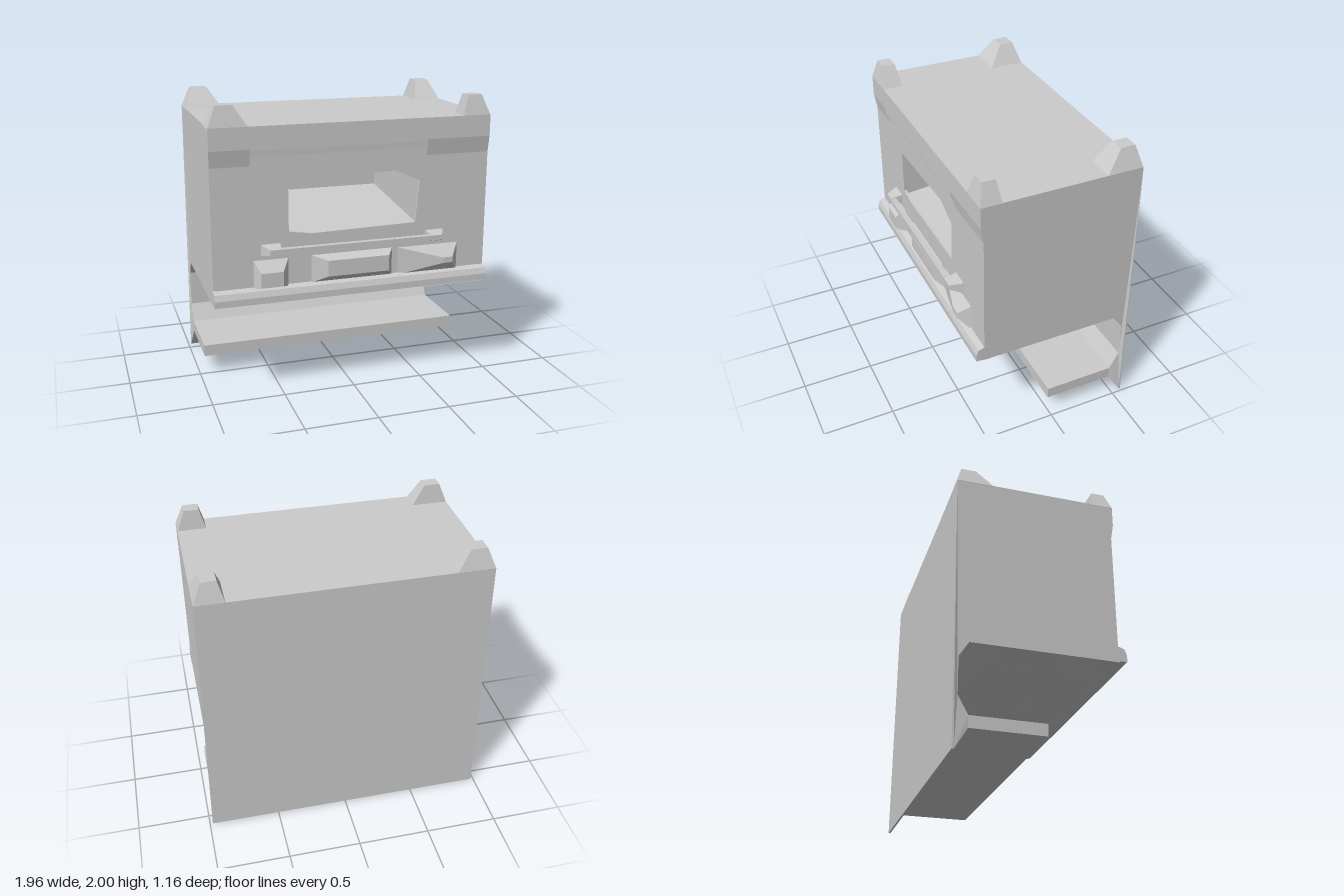
import * as THREE from 'three';

const grey = new THREE.MeshStandardMaterial({ color: 0xcccccc, flatShading: true, side: THREE.DoubleSide });

function add(parent, name, geometry) {
  const mesh = new THREE.Mesh(geometry, grey);
  mesh.name = name;
  parent.add(mesh);
  return mesh;
}

function makeShape(points) {
  return new THREE.Shape(points.map(([a, b]) => new THREE.Vector2(a, b)));
}

// Extrude a [z, y] side profile across x0..x1
function acrossX(points, x0, x1) {
  const g = new THREE.ExtrudeGeometry(makeShape(points), { depth: x1 - x0, bevelEnabled: false });
  return g.rotateY(-Math.PI / 2).translate(x1, 0, 0);
}

// Box whose far end (along +y or +z) is replaced by a smaller rectangle
function frustum(axis, base, tip, from, to) {
  const g = new THREE.BoxGeometry(1, 1, 1).toNonIndexed();
  const p = g.attributes.position;
  for (let i = 0; i < p.count; i++) {
    const v = axis === 'y' ? p.getZ(i) : p.getY(i);
    const end = (axis === 'y' ? p.getY(i) : p.getZ(i)) > 0;
    const r = end ? tip : base;
    const x = p.getX(i) > 0 ? r[1] : r[0];
    const w = v > 0 ? r[3] : r[2];
    const h = end ? to : from;
    if (axis === 'y') p.setXYZ(i, x, h, w);
    else p.setXYZ(i, x, w, h);
  }
  g.computeVertexNormals();
  return g;
}

export function createModel() {
  const model = new THREE.Group();
  model.name = 'oven';

  // Cabinet, rear panel and lower shelf share one side profile, cut into strips
  const body = new THREE.Group();
  body.name = 'body';
  model.add(body);
  const rear = [
    [0.5, 0.69], [-0.48, 0.69], [-0.545, 0.59], [-0.545, 0.34], [-0.48, 0.22], [0.01, 0.22],
    [0.01, 0.14], [-0.48, 0.14], [-0.565, 0], [-0.578, 0], [-0.578, 1.865], [0.512, 1.865],
  ];
  const sloped = [[0.512, 1.72], [0.493, 1.61], [0.493, 0.78]];
  const stepped = [[0.512, 1.71], [0.51, 1.67], [0.493, 1.67], [0.493, 0.78]];
  const hollow = [
    [0.512, 1.71], [0.51, 1.67], [0.475, 1.67], [0.475, 1.53], [0.3, 1.48],
    [-0.4, 1.34], [-0.4, 1.22], [0.475, 1.13], [0.475, 0.78],
  ];
  const strips = [
    [-0.965, -0.705, sloped], [-0.705, -0.456, stepped], [-0.456, 0.462, hollow],
    [0.462, 0.505, stepped], [0.505, 0.957, sloped],
  ];
  for (const [x0, x1, front] of strips) {
    const g = acrossX([...rear, ...front], x0, x1);
    const p = g.attributes.position;
    // flared lower corners of the rear panel
    for (let i = 0; i < p.count; i++) {
      if (p.getY(i) < 0.01 && Math.abs(p.getX(i)) > 0.9) p.setX(i, Math.sign(p.getX(i)) * 0.98);
    }
    g.computeVertexNormals();
    add(body, 'bodyStrip', g);
  }

  // Door skin with the irregular window opening
  const door = makeShape([[-0.456, 0.78], [0.462, 0.78], [0.462, 1.67], [-0.456, 1.67]]);
  door.holes.push(new THREE.Path([
    [-0.455, 1.48], [0.28, 1.52], [0.461, 1.44], [0.435, 1.15], [-0.3, 1.135], [-0.455, 1.16],
  ].map(([x, y]) => new THREE.Vector2(x, y))));
  add(model, 'doorFront', new THREE.ExtrudeGeometry(door, { depth: 0.018, bevelEnabled: false }).translate(0, 0, 0.475));

  // Projecting lip along the bottom of the front
  add(model, 'frontLip', acrossX(
    [[0.45, 0.69], [0.55, 0.7], [0.55, 0.745], [0.535, 0.785], [0.493, 0.8], [0.45, 0.8]], -0.967, 0.959));

  // Corner posts on the roof
  for (const [x0, x1] of [[-0.967, -0.71], [0.76, 0.957]]) {
    const t = x0 < 0 ? [-0.91, -0.8] : [0.8, 0.9];
    add(model, 'rearPost', frustum('y', [x0, x1, -0.578, -0.33], [...t, -0.54, -0.44], 1.86, 2));
    add(model, 'frontPost', frustum('y', [x0, x1, 0.37, 0.512], [...t, 0.39, 0.48], 1.86, 2));
  }

  // Door handle: two tapered mounts and a bar
  const handle = new THREE.Group();
  handle.name = 'handle';
  model.add(handle);
  add(handle, 'handleMount', frustum('z', [-0.65, -0.51, 1.01, 1.09], [-0.6, -0.53, 1.035, 1.07], 0.48, 0.58));
  add(handle, 'handleMount', frustum('z', [0.51, 0.645, 1.0, 1.09], [0.52, 0.6, 1.035, 1.07], 0.48, 0.58));
  add(handle, 'handleBar', new THREE.BoxGeometry(1.12, 0.035, 0.04).translate(0, 1.052, 0.56));

  // Raised facets of the control strip
  const panels = [
    ['leftKnobPanel', [-0.7, -0.455, 0.785, 0.99], [-0.66, -0.51, 0.81, 0.91], 0.56],
    ['displayPanel', [-0.32, 0.275, 0.785, 0.99], [-0.2, 0.23, 0.84, 0.95], 0.545],
    ['rightKnobPanel', [0.275, 0.76, 0.775, 0.99], [0.62, 0.69, 0.86, 0.9], 0.565],
  ];
  for (const [name, base, tip, z] of panels) add(model, name, frustum('z', base, tip, 0.485, z));

  // Uneven faceted underside
  const under = new THREE.PlaneGeometry(1.9, 1.0, 8, 6).rotateX(Math.PI / 2).translate(-0.004, 0, 0.03).toNonIndexed();
  const p = under.attributes.position;
  for (let i = 0; i < p.count; i++) {
    const x = p.getX(i), z = p.getZ(i);
    const edge = Math.abs(x + 0.004) > 0.94 || Math.abs(z - 0.03) > 0.49;
    p.setY(i, edge ? 0.69 : 0.65 + 0.022 * Math.sin(x * 9 + 1) * Math.cos(z * 11));
  }
  under.computeVertexNormals();
  add(model, 'underside', under);

  return model;
}
